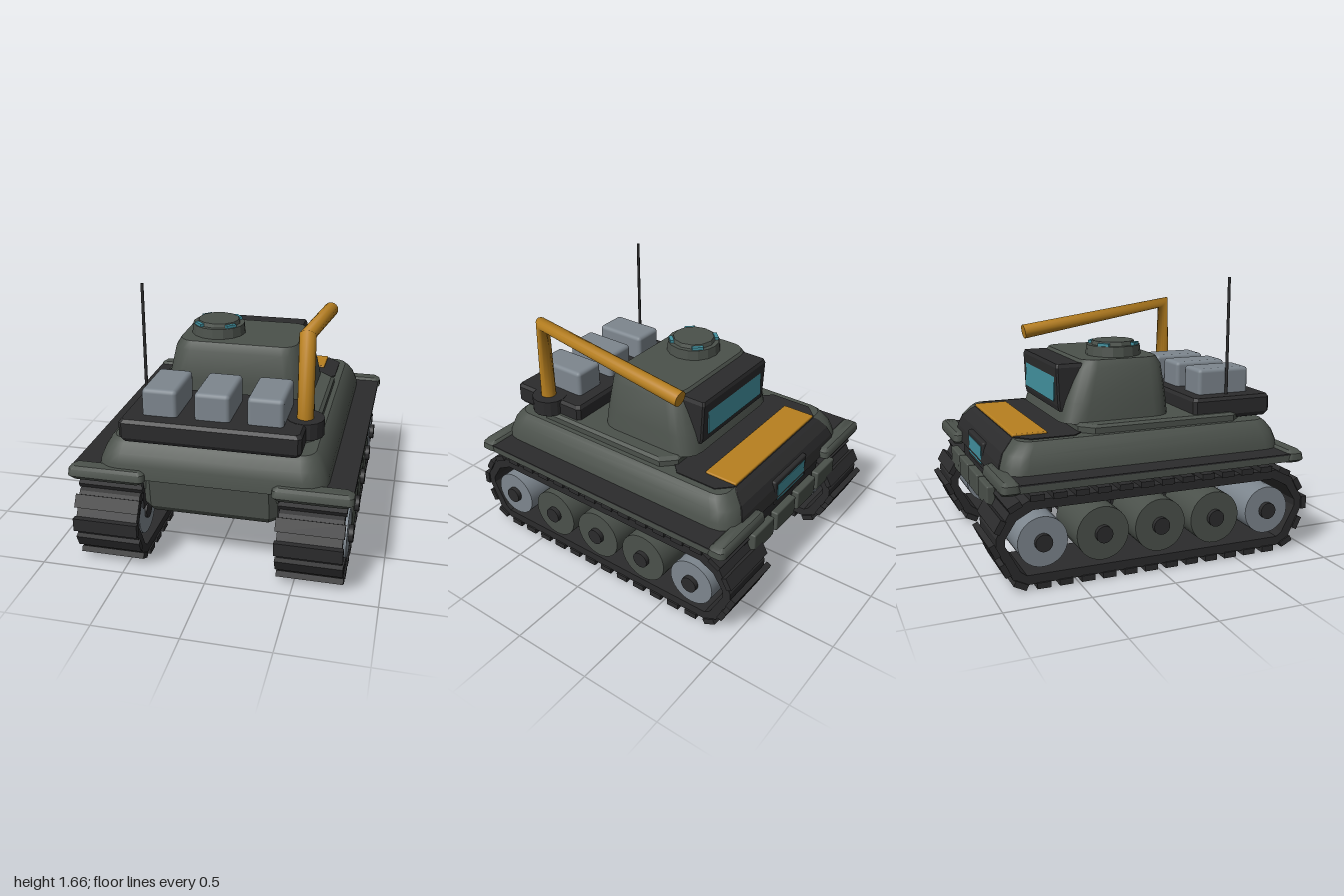
import * as THREE from 'three';
import { toCreasedNormals } from 'three/addons/utils/BufferGeometryUtils.js';
import { RoundedBoxGeometry } from 'three/addons/geometries/RoundedBoxGeometry.js';

const mat = (name, color) => Object.assign(new THREE.MeshStandardMaterial({ color }), { name });
const green = mat('armour green', 0x4b514b);
const dark = mat('dark metal', 0x2b2b2c);
const grey = mat('pale grey', 0x7d868e);
const orange = mat('crane orange', 0xb8801f);
const cyan = mat('window cyan', 0x42909e);

// Closed body from rounded rectangles; each section is [y, halfWidth, zFront, zBack, cornerRadius]
function loft(sections, steps = 1) {
  const rings = sections.map(([y, hx, zf, zb, r]) => {
    const pts = [];
    const corners = [[hx - r, zf - r], [r - hx, zf - r], [r - hx, zb + r], [hx - r, zb + r]];
    corners.forEach(([cx, cz], q) => {
      for (let i = 0; i <= steps; i++) {
        const a = (q + i / steps) * Math.PI / 2;
        pts.push([cx + r * Math.cos(a), y, cz + r * Math.sin(a)]);
      }
    });
    return pts;
  });
  const n = rings[0].length, pos = [];
  const tri = (...p) => p.forEach((v) => pos.push(...v));
  const mid = (s) => [0, s[0], (s[2] + s[3]) / 2];
  const top = rings.length - 1;
  for (let i = 0; i < n; i++) {
    const j = (i + 1) % n;
    for (let k = 0; k < top; k++) {
      const a = rings[k], b = rings[k + 1];
      tri(a[i], b[i], a[j]);
      tri(a[j], b[i], b[j]);
    }
    tri(mid(sections[0]), rings[0][i], rings[0][j]);
    tri(mid(sections[top]), rings[top][j], rings[top][i]);
  }
  const g = new THREE.BufferGeometry();
  g.setAttribute('position', new THREE.Float32BufferAttribute(pos, 3));
  g.computeVertexNormals();
  return steps > 1 ? toCreasedNormals(g, 0.6) : g;
}

// Bent pipe with a mitred corner
class BentPath extends THREE.Curve {
  constructor(points) { super(); this.points = points; }
  getPointAt(u) {
    const [a, b, c] = this.points;
    return u < 0.5 ? a.clone().lerp(b, u * 2) : b.clone().lerp(c, u * 2 - 1);
  }
  getTangentAt(u) {
    const [a, b, c] = this.points;
    const first = b.clone().sub(a).normalize(), second = c.clone().sub(b).normalize();
    if (u < 0.49) return first;
    return u > 0.51 ? second : first.add(second).normalize();
  }
}

export function createModel() {
  const model = new THREE.Group();
  model.name = 'trackedVehicle';
  const add = (name, geo, material, x = 0, y = 0, z = 0, parent = model) => {
    const m = new THREE.Mesh(geo, material);
    m.name = name;
    m.position.set(x, y, z);
    parent.add(m);
    return m;
  };
  const box = (w, h, d) => new THREE.BoxGeometry(w, h, d);
  const rbox = (w, h, d, r) => new RoundedBoxGeometry(w, h, d, 2, r);

  // Hull
  add('lowerHull', loft([[0.36, 0.39, 0.84, -0.82, 0.05], [0.4, 0.4, 0.87, -0.86, 0.05], [0.62, 0.4, 0.89, -0.88, 0.05]]), green);
  add('sponson', loft([[0.49, 0.53, 0.84, -0.82, 0.1], [0.6, 0.66, 0.87, -0.86, 0.1]]), green);
  const hull = [[0.58, 0.68, 0.905, -0.89, 0.13], [0.66, 0.67, 0.895, -0.875, 0.13],
    [0.72, 0.645, 0.875, -0.85, 0.12], [0.77, 0.615, 0.835, -0.8, 0.1], [0.79, 0.59, 0.81, -0.775, 0.08]];
  add('upperHull', loft(hull, 4), green);
  add('noseSlope', loft(hull.map(([y, hx, , zb]) => [y, hx - 0.13, zb + 0.1, zb - 0.006, 0.001])), dark);
  add('noseDeck', loft([[0.785, 0.55, -0.35, -0.775, 0.08], [0.796, 0.55, -0.35, -0.775, 0.08]]), dark);
  add('nosePlate', box(0.7, 0.22, 0.03), dark, 0, 0.5, -0.87);
  add('deckPlate', loft([[0.785, 0.56, 0.68, -0.39, 0.08], [0.825, 0.56, 0.68, -0.39, 0.08], [0.84, 0.54, 0.66, -0.37, 0.08]]), green);
  add('hatchPlate', rbox(0.915, 0.022, 0.21, 0.008), orange, 0, 0.797, -0.672);

  // Nose window and hanging armour tiles
  add('noseWindowFrame', rbox(0.38, 0.17, 0.1, 0.012), dark, 0, 0.618, -0.84);
  add('noseWindow', box(0.32, 0.11, 0.006), cyan, 0, 0.618, -0.891);
  for (const x of [-0.378, -0.126, 0.126, 0.378])
    add('armourTile', rbox(0.22, 0.13, 0.05, 0.01), green, x, 0.46, -0.918);

  // Turret, its window and hatch
  add('turret', loft([[0.83, 0.465, 0.24, -0.46, 0.13], [0.95, 0.445, 0.235, -0.425, 0.13],
    [1.14, 0.4, 0.215, -0.345, 0.11], [1.19, 0.37, 0.185, -0.31, 0.09]], 4), green);
  add('turretWindowFrame', loft([[0.89, 0.345, -0.36, -0.455, 0.01], [0.92, 0.345, -0.35, -0.462, 0.01],
    [1.15, 0.345, -0.3, -0.472, 0.01], [1.172, 0.335, -0.3, -0.465, 0.01]]), dark);
  add('turretWindow', box(0.58, 0.18, 0.006), cyan, 0, 1.032, -0.469).rotation.x = 0.043;
  const hatch = new THREE.Group();
  hatch.name = 'turretHatch';
  hatch.position.set(-0.163, 1.19, -0.04);
  model.add(hatch);
  const drum = (rt, rb, h, n) => toCreasedNormals(new THREE.CylinderGeometry(rt, rb, h, n), 0.3);
  add('hatchRing', drum(0.165, 0.172, 0.065, 16), green, 0, 0.03, 0, hatch);
  add('hatchLid', drum(0.13, 0.14, 0.03, 12), green, 0, 0.072, 0, hatch);
  for (let i = 0; i < 4; i++) {
    const a = (i + 0.5) * Math.PI / 2;
    add('periscope', box(0.024, 0.02, 0.07), cyan, 0.143 * Math.cos(a), 0.07, 0.143 * Math.sin(a), hatch).rotation.y = -a;
  }

  // Cargo rack with three crates, aerial and crane
  add('cargoRack', loft([[0.8, 0.51, 0.865, 0.36, 0.02], [0.825, 0.525, 0.88, 0.347, 0.02],
    [0.915, 0.525, 0.88, 0.347, 0.02], [0.935, 0.51, 0.865, 0.36, 0.02]]), dark);
  for (const x of [-0.307, 0, 0.305])
    add('cargoCrate', rbox(0.208, 0.18, 0.35, 0.025), grey, x, 1.005, 0.61);
  add('aerial', new THREE.CylinderGeometry(0.009, 0.01, 0.76, 8), dark, -0.435, 1.28, 0.615);
  add('craneMount', drum(0.11, 0.11, 0.1, 16), dark, 0.505, 0.887, 0.61);
  const cranePath = new BentPath([[0.505, 0.92, 0.617], [0.505, 1.428, 0.617], [0.505, 1.265, -0.42]]
    .map((p) => new THREE.Vector3(...p)));
  add('craneArm', new THREE.TubeGeometry(cranePath, 2, 0.048, 16), orange);
  const cap = add('craneArmEnd', new THREE.CircleGeometry(0.048, 16), orange, 0.505, 1.265, -0.42);
  cap.quaternion.setFromUnitVectors(new THREE.Vector3(0, 0, 1), cranePath.getTangentAt(1));

  // Track outline as [z, y], running counter-clockwise
  const half = [[0.8, 0.03], [0.88, 0.07], [0.97, 0.26], [0.97, 0.32], [0.89, 0.46], [0.78, 0.515]];
  const innerHalf = [[0.8, 0.085], [0.835, 0.11], [0.92, 0.27], [0.92, 0.31], [0.855, 0.41], [0.76, 0.46]];
  const loop = (h) => [...h, ...h.map(([z, y]) => [-z, y]).reverse()].map((p) => new THREE.Vector2(...p));
  const outer = loop(half);
  const shape = new THREE.Shape(outer);
  shape.holes.push(new THREE.Path(loop(innerHalf).reverse()));
  const band = new THREE.ExtrudeGeometry(shape, { depth: 0.37, bevelEnabled: false });
  band.translate(0, 0, -0.185).rotateY(-Math.PI / 2);
  const path = new THREE.CurvePath();
  outer.forEach((p, i) => path.add(new THREE.LineCurve(p, outer[(i + 1) % outer.length])));
  const pad = box(0.39, 0.035, 0.08);
  const wheel = (r, len) => toCreasedNormals(new THREE.CylinderGeometry(r, r, len, 32).rotateZ(Math.PI / 2), 0.5);
  const endWheel = wheel(0.145, 0.36), roadWheel = wheel(0.157, 0.36), hub = wheel(0.05, 0.4);

  for (const s of [-1, 1]) {
    const side = new THREE.Group();
    side.name = s > 0 ? 'leftRunningGear' : 'rightRunningGear';
    model.add(side);
    const x = s * 0.595;
    add('trackBand', band, dark, x, 0, 0, side);
    const count = 34;
    for (let i = 0; i < count; i++) {
      const t = (i + 0.5) / count, p = path.getPoint(t), d = path.getTangent(t);
      add('trackPad', pad, dark, x, p.y - d.x * 0.0125, p.x + d.y * 0.0125, side).rotation.x = Math.atan2(-d.y, d.x);
    }
    for (let i = -2; i <= 2; i++) {
      const end = Math.abs(i) === 2;
      add(end ? 'endWheel' : 'roadWheel', end ? endWheel : roadWheel, end ? grey : green, s * 0.612, 0.274, i * 0.355, side);
      add('wheelHub', hub, dark, s * 0.62, 0.274, i * 0.355, side);
    }
    // Hull side, fender and its raised ends
    add('hullSide', box(0.008, 0.2, 1.72), dark, s * 0.402, 0.465, 0, side);
    add('fenderEdge', box(0.42, 0.04, 1.7), green, s * 0.61, 0.59, 0, side);
    add('fenderTop', box(0.42, 0.009, 1.7), dark, s * 0.613, 0.6145, 0, side);
    for (const e of [-1, 1])
      add('fenderEnd', loft([[-0.04, 0.2, 0.045, -0.045, 0.02], [-0.02, 0.232, 0.057, -0.055, 0.03],
        [0.02, 0.228, 0.05, -0.05, 0.03], [0.038, 0.2, 0.035, -0.035, 0.02]], 3), green, s * 0.6, 0.598, e * 0.888, side);
  }
  return model;
}
